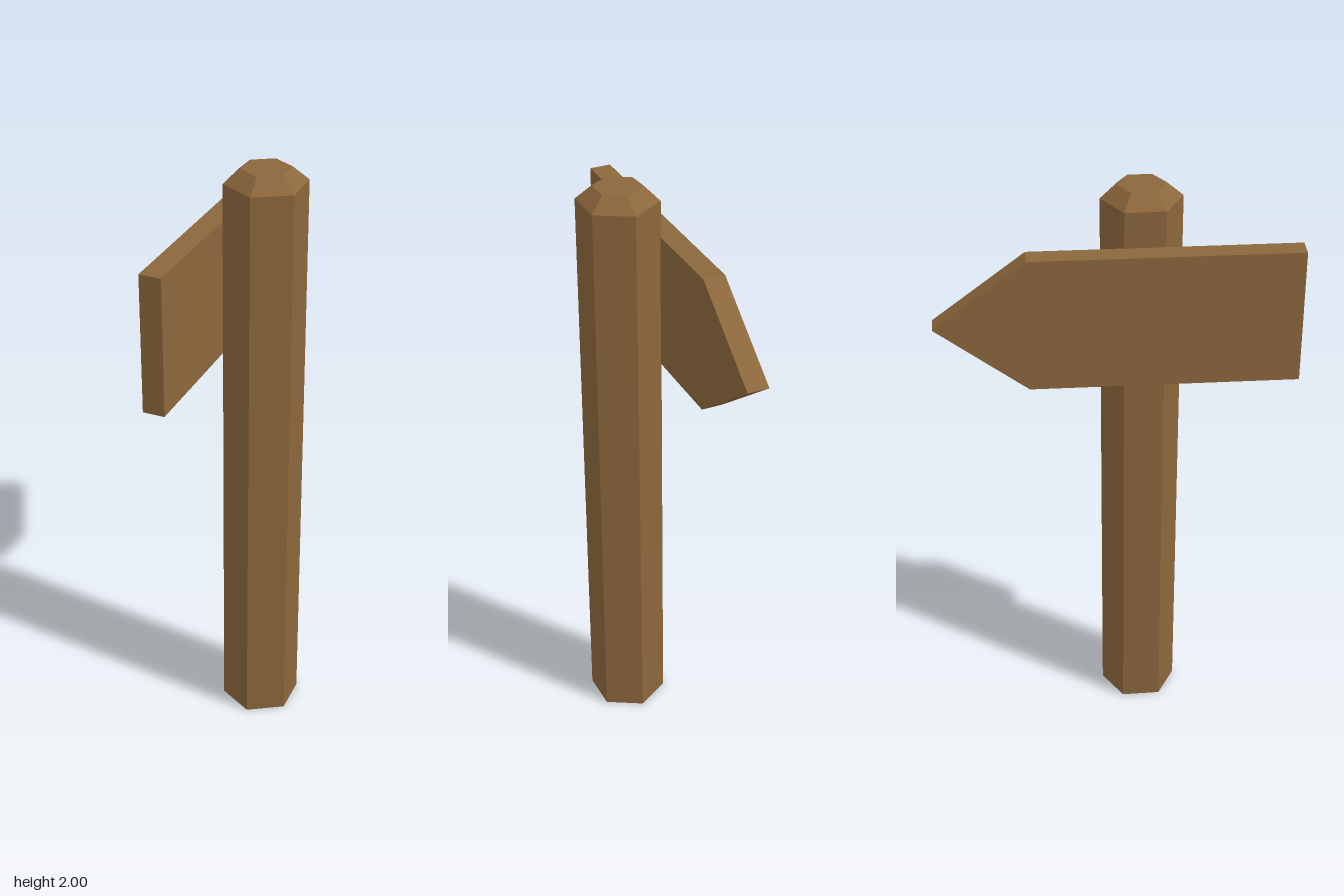
import * as THREE from 'three';

const wood = new THREE.MeshStandardMaterial({ color: 0x8c673c });
wood.name = 'wood';

// Separate the faces so every facet gets its own flat normal
function faceted(geometry) {
  const flat = geometry.index ? geometry.toNonIndexed() : geometry;
  flat.computeVertexNormals();
  return flat;
}

// Hexagonal post with a bevelled cap, edges facing front and back
function makePost() {
  const profile = [[0, 0], [0.132, 0], [0.132, 1.955], [0.079, 2], [0, 2]];
  const points = profile.map(([r, y]) => new THREE.Vector2(r, y));
  const post = new THREE.Mesh(faceted(new THREE.LatheGeometry(points, 6)), wood);
  post.name = 'post';
  post.position.set(-0.003, 0, 0.171);
  return post;
}

// Arrow-shaped board, turned so that its point swings to the back
function makeBoard() {
  const half = 0.585, shoulder = 0.286, height = 0.2265, thickness = 0.071;
  const outline = new THREE.Shape([
    new THREE.Vector2(-half, -height),
    new THREE.Vector2(shoulder, -height),
    new THREE.Vector2(half, 0),
    new THREE.Vector2(shoulder, height),
    new THREE.Vector2(-half, height),
  ]);
  const geometry = new THREE.ExtrudeGeometry(outline, { depth: thickness, bevelEnabled: false });
  geometry.translate(0, 0, -thickness / 2);
  const board = new THREE.Mesh(faceted(geometry), wood);
  board.name = 'arrowBoard';
  board.position.y = 1.608;
  board.rotation.y = THREE.MathUtils.degToRad(28.7);
  return board;
}

export function createModel() {
  const signpost = new THREE.Group();
  signpost.name = 'signpost';
  signpost.add(makePost(), makeBoard());
  return signpost;
}
